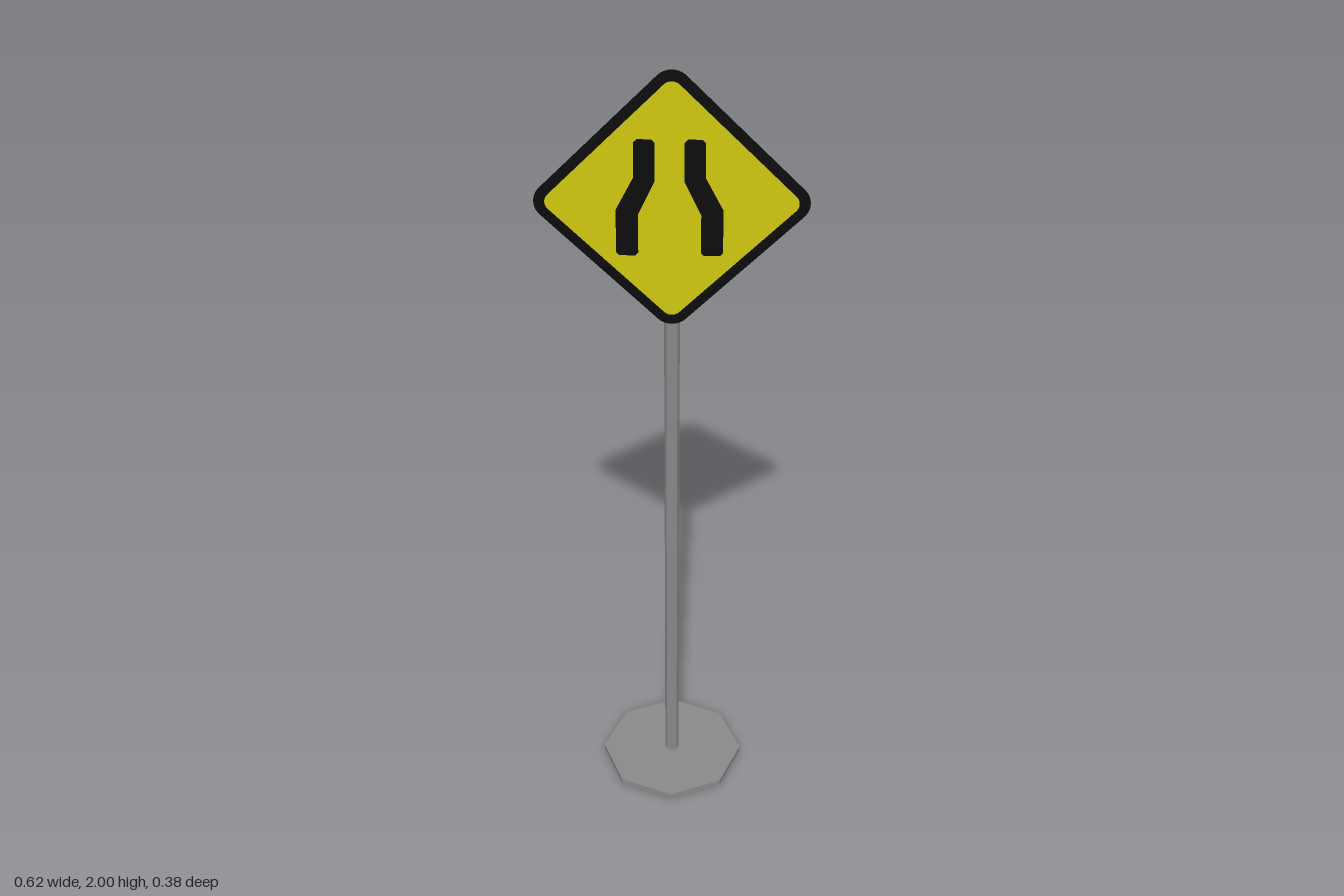
import * as THREE from 'three';

const mat = (name, color) => new THREE.MeshStandardMaterial({ name, color, flatShading: true });

// Diamond with rounded corners; d is the distance to the unrounded tip
function diamond(d, r) {
  const k = r / Math.SQRT2, c = d - r * Math.SQRT2;
  const s = new THREE.Shape();
  s.moveTo(c + k, -k);
  for (let i = 0; i < 4; i++) {
    const a = i * Math.PI / 2;
    s.absarc(c * Math.cos(a), c * Math.sin(a), r, a - Math.PI / 4, a + Math.PI / 4, false);
  }
  s.closePath();
  return s;
}

export function createModel() {
  const model = new THREE.Group();
  const grey = mat('grey metal', 0x8a8a8a);
  const yellow = mat('sign yellow', 0xd0c80f);
  const black = mat('sign black', 0x0b0b0b);

  const add = (name, geometry, material, x, y, z, parent = model) => {
    const mesh = new THREE.Mesh(geometry, material);
    mesh.name = name;
    mesh.position.set(x, y, z);
    parent.add(mesh);
    return mesh;
  };

  // Stand
  add('base', new THREE.CylinderGeometry(0.188, 0.188, 0.016, 8), grey, 0, 0.008, 0);
  add('pole', new THREE.CylinderGeometry(0.0185, 0.0185, 1.895, 8), grey, 0, 0.9625, 0);

  // Sign plate with a yellow field on both faces
  const sign = new THREE.Group();
  sign.name = 'sign';
  sign.position.set(0, 1.69, 0.017);
  model.add(sign);
  const plate = new THREE.ExtrudeGeometry(diamond(0.328, 0.045), { depth: 0.004, bevelEnabled: false, curveSegments: 5 });
  add('signPlate', plate, black, 0, 0, -0.002, sign);
  const field = new THREE.ShapeGeometry(diamond(0.295, 0.025), 5);
  add('frontField', field, yellow, 0, 0, 0.0028, sign);
  add('backField', field, yellow, 0, 0, -0.0028, sign).rotation.y = Math.PI;

  // Narrowing road lines, mirrored about the symbol's centre
  for (const side of [-1, 1]) {
    const outline = [
      [0.040, 0.152], [0.072, 0.152], [0.080, 0.144], [0.080, 0.062], [0.121, -0.018],
      [0.121, -0.124], [0.114, -0.131], [0.078, -0.131], [0.071, -0.124], [0.071, -0.030],
      [0.033, 0.052], [0.033, 0.144],
    ].map(([x, y]) => new THREE.Vector2(x * side, y));
    add(side < 0 ? 'rightRoadLine' : 'leftRoadLine',
      new THREE.ShapeGeometry(new THREE.Shape(outline)), black, -0.005, 0, 0.0036, sign);
  }
  return model;
}
